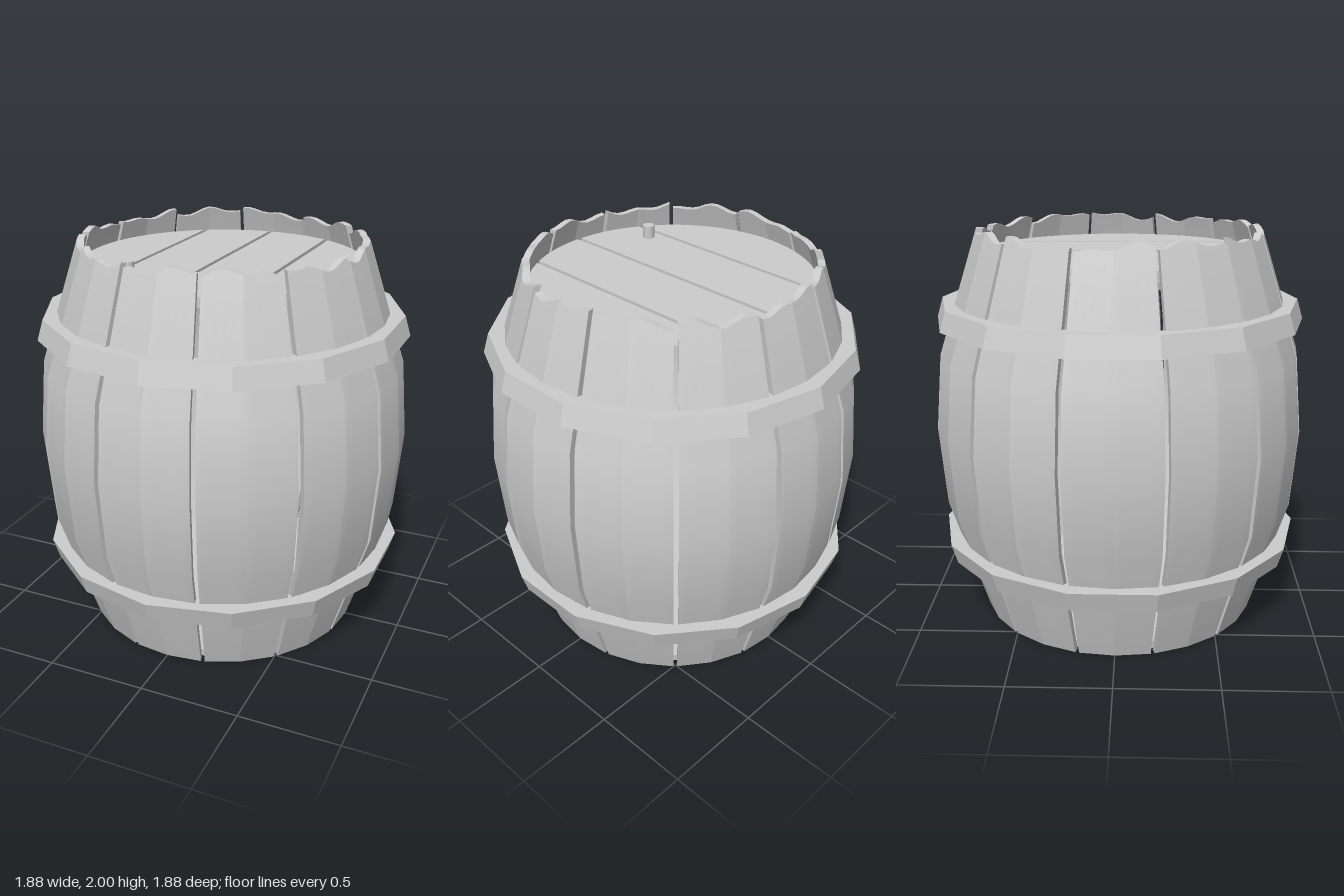
import * as THREE from 'three';
import { mergeGeometries } from 'three/addons/utils/BufferGeometryUtils.js';

const STAVES = 12, HALF = THREE.MathUtils.degToRad(14.2), THICK = 0.035;
const PROFILE = [[0, 0.715], [0.6, 0.907], [1, 0.94], [1.38, 0.907], [2, 0.705]];

const material = new THREE.MeshStandardMaterial({ color: 0xcccccc });
const flatMaterial = new THREE.MeshStandardMaterial({ color: 0xcccccc, flatShading: true });

function mesh(name, geometry, mat = material) {
  const m = new THREE.Mesh(geometry, mat);
  m.name = name;
  return m;
}

// Outer radius of the barrel at height y
function radiusAt(y) {
  let i = 1;
  while (i < PROFILE.length - 1 && y > PROFILE[i][0]) i++;
  const [y0, r0] = PROFILE[i - 1], [y1, r1] = PROFILE[i];
  return r0 + (r1 - r0) * (y - y0) / (y1 - y0);
}

// Smooth surface patch of nu x nv quads from a point function
function patch(nu, nv, f) {
  const pos = [], index = [];
  for (let j = 0; j <= nv; j++)
    for (let i = 0; i <= nu; i++) pos.push(...f(i, j));
  for (let j = 0; j < nv; j++)
    for (let i = 0; i < nu; i++) {
      const a = j * (nu + 1) + i, b = a + 1, c = a + nu + 1, d = c + 1;
      index.push(a, b, d, a, d, c);
    }
  const g = new THREE.BufferGeometry();
  g.setAttribute('position', new THREE.Float32BufferAttribute(pos, 3));
  g.setIndex(index);
  g.computeVertexNormals();
  return g;
}

// One bowed stave of two facets with a worn, wavy top edge
function staveGeometry(k) {
  const N = 5; // columns per facet
  const rows = PROFILE.length - 1;
  const topY = s => 1.972 + 0.016 * Math.sin(2.3 * s + k * 2.1) + 0.011 * Math.sin(5.2 * s + k * 4.7);
  const point = (s, row, inner) => { // s runs -1..1 across the stave
    const y = row === rows ? Math.min(2, topY(s)) : PROFILE[row][0];
    const r = radiusAt(y) - (inner ? THICK : 0);
    const t = Math.abs(s);
    return [s * Math.sin(HALF) * r, y, r * (1 - t + t * Math.cos(HALF))];
  };
  const parts = [];
  for (const start of [-1, 0]) {
    const s = i => start + i / N;
    parts.push(
      patch(N, rows, (i, j) => point(s(i), j, false)),
      patch(N, rows, (i, j) => point(s(N - i), j, true)),
      patch(N, 1, (i, j) => point(s(i), rows, j === 1)),
      patch(N, 1, (i, j) => point(s(i), 0, j === 0)));
  }
  parts.push(
    patch(1, rows, (i, j) => point(1, j, i === 1)),
    patch(1, rows, (i, j) => point(-1, j, i === 0)));
  return mergeGeometries(parts);
}

// Fourteen-sided hoop, wider on the edge nearer the belly
function hoopGeometry(yNarrow, yWide) {
  let ring = [[0.93, yWide], [0.9, yNarrow], [0.81, yNarrow], [0.84, yWide]];
  if (yWide > yNarrow) ring = ring.reverse();
  ring.push(ring[0]);
  return new THREE.LatheGeometry(ring.map(p => new THREE.Vector2(...p)), 14);
}

// Slice of a disc between two x positions
function plankGeometry(x0, x1, radius, depth) {
  const a0 = Math.acos(x0 / radius), a1 = Math.acos(x1 / radius), pts = [];
  for (const side of [-1, 1])
    for (let i = 0; i <= 10; i++) {
      const a = side < 0 ? a0 + (a1 - a0) * i / 10 : a1 + (a0 - a1) * i / 10;
      pts.push(new THREE.Vector2(radius * Math.cos(a), side * radius * Math.sin(a)));
    }
  return new THREE.ExtrudeGeometry(new THREE.Shape(pts), { depth, bevelEnabled: false })
    .rotateX(-Math.PI / 2);
}

export function createModel() {
  const model = new THREE.Group();
  model.name = 'barrel';

  // Staves
  const staves = new THREE.Group();
  staves.name = 'staves';
  for (let k = 0; k < STAVES; k++) {
    const stave = mesh('stave', staveGeometry(k));
    stave.rotation.y = k * Math.PI * 2 / STAVES;
    staves.add(stave);
  }
  model.add(staves);

  // Hoops
  model.add(mesh('upperHoop', hoopGeometry(1.63, 1.53), flatMaterial));
  model.add(mesh('lowerHoop', hoopGeometry(0.33, 0.43), flatMaterial));

  // Lid planks
  const lid = new THREE.Group();
  lid.name = 'lid';
  const R = 0.695, cuts = [-R, -0.36, -0.015, 0.33, R], gap = 0.011;
  for (let i = 0; i < 4; i++) {
    const x0 = cuts[i] + (i > 0 ? gap : 0.001), x1 = cuts[i + 1] - (i < 3 ? gap : 0.001);
    const plank = mesh('lidPlank', plankGeometry(x0, x1, R, 0.05));
    plank.position.y = 1.82;
    lid.add(plank);
  }
  model.add(lid);

  // Peg on the lid
  const peg = mesh('peg', new THREE.CylinderGeometry(0.03, 0.03, 0.08, 16));
  peg.position.set(-0.285, 1.895, 0.455);
  model.add(peg);

  // Base
  const base = mesh('base', new THREE.CylinderGeometry(0.685, 0.68, 0.04, 48));
  base.position.y = 0.03;
  model.add(base);

  return model;
}
